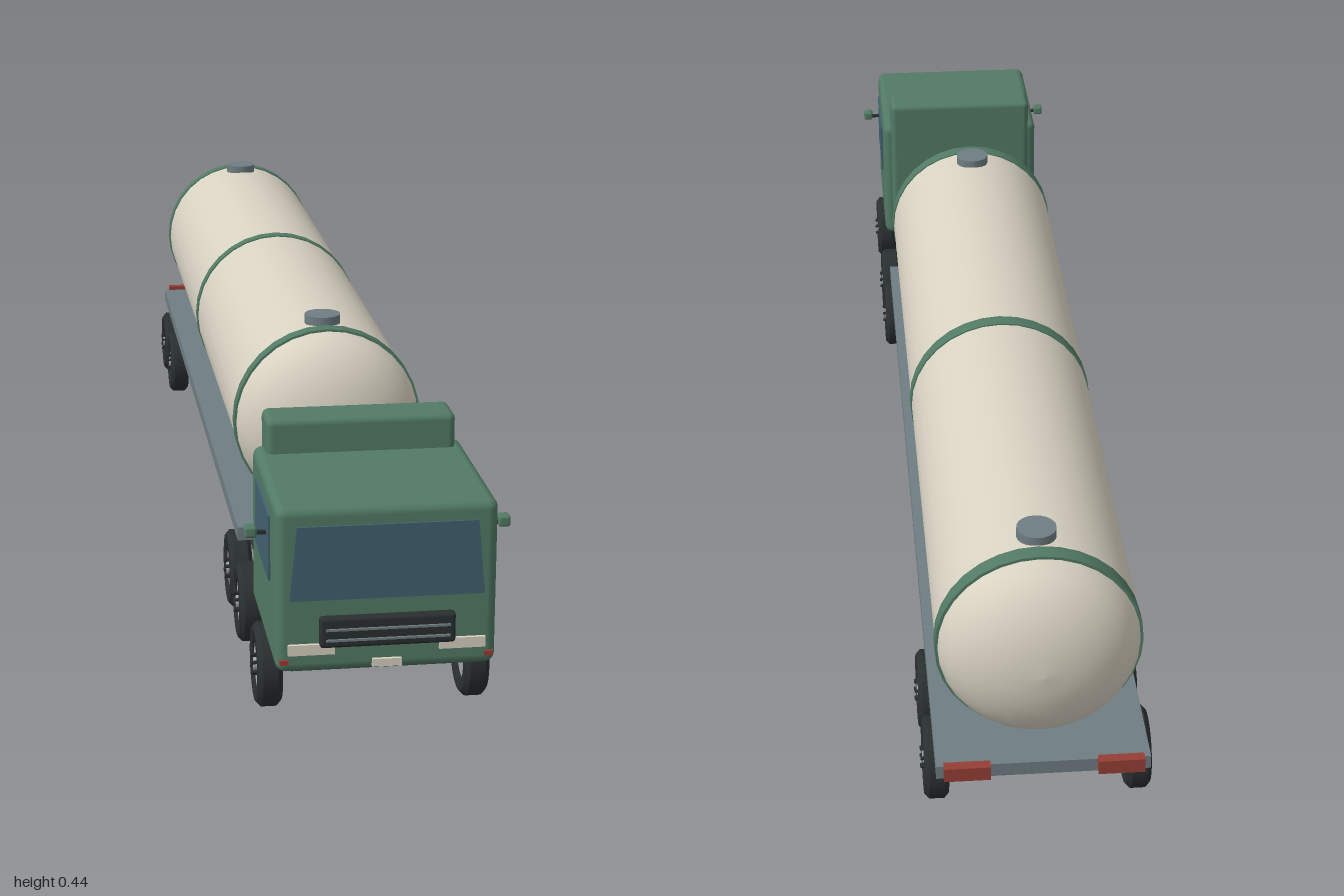
import * as THREE from 'three';
import { RoundedBoxGeometry } from 'three/addons/geometries/RoundedBoxGeometry.js';
import { toCreasedNormals } from 'three/addons/utils/BufferGeometryUtils.js';

const mat = (name, color) => {
  const m = new THREE.MeshStandardMaterial({ color });
  m.name = name;
  return m;
};

export function createModel() {
  const green = mat('green paint', 0x527a65);
  const cream = mat('cream', 0xd8d2c2);
  const dark = mat('dark chassis', 0x353b3d);
  const black = mat('rubber', 0x2a2f30);
  const grey = mat('deck grey', 0x6f7d82);
  const rimGrey = mat('rim grey', 0xa3a8a8);
  const glass = mat('glass', 0x41616f);
  const red = mat('red lamp', 0x963f36);

  const truck = new THREE.Group();
  truck.name = 'tankerTruck';

  const add = (name, geo, material, x = 0, y = 0, z = 0, parent = truck) => {
    const m = new THREE.Mesh(geo, material);
    m.name = name;
    m.position.set(x, y, z);
    parent.add(m);
    return m;
  };
  // Box given by its limits, optionally rounded
  const box = (name, material, [x0, x1], [y0, y1], [z0, z1], r = 0) => {
    const w = x1 - x0, h = y1 - y0, d = z1 - z0;
    const geo = r ? new RoundedBoxGeometry(w, h, d, 2, r) : new THREE.BoxGeometry(w, h, d);
    return add(name, geo, material, (x0 + x1) / 2, (y0 + y1) / 2, (z0 + z1) / 2);
  };
  // Solid of revolution with sharp edges kept
  const lathe = (pts, n = 24) => toCreasedNormals(
    new THREE.LatheGeometry(pts.map(p => new THREE.Vector2(...p)), n), 0.6);

  // Cab and roof fairing
  box('cab', green, [-0.15, 0.15], [0.108, 0.343], [0.705, 0.985], 0.014);
  box('rearFairing', green, [-0.135, 0.135], [0.168, 0.393], [0.69, 0.757], 0.01);

  // Windscreen
  const screen = new THREE.Shape([[-0.132, 0.213], [0.132, 0.213], [0.122, 0.317], [-0.122, 0.317]]
    .map(p => new THREE.Vector2(...p)));
  add('windscreen', new THREE.ExtrudeGeometry(screen, { depth: 0.006, bevelEnabled: false }),
    glass, 0, 0, 0.982);

  // Grille with slats
  box('grille', black, [-0.092, 0.092], [0.147, 0.19], [0.978, 0.997], 0.005);
  for (const y of [0.159, 0.174]) {
    box('grilleSlat', grey, [-0.084, 0.084], [y - 0.0015, y + 0.0015], [0.99, 1.0]);
  }
  box('numberPlate', cream, [-0.02, 0.02], [0.115, 0.126], [0.982, 0.99]);

  for (const s of [-1, 1]) {
    const span = (a, b) => (s > 0 ? [a, b] : [-b, -a]);
    // Front lamps
    box('headlight', cream, span(0.071, 0.134), [0.136, 0.151], [0.98, 0.99]);
    box('indicator', red, span(0.133, 0.145), [0.122, 0.129], [0.98, 0.988]);
    // Door window
    box('sideWindow', glass, span(0.147, 0.153), [0.22, 0.313], [0.77, 0.925]);
    // Mirror on its arm
    box('mirrorArm', black, span(0.148, 0.168), [0.279, 0.284], [0.898, 0.904]);
    box('mirrorHousing', green, span(0.166, 0.183), [0.276, 0.292], [0.891, 0.911], 0.004);
    // Tail lamp
    box('tailLamp', red, span(0.075, 0.14), [0.126, 0.148], [-1.0, -0.985]);
  }

  // Chassis and trailer deck
  box('chassis', dark, [-0.122, 0.122], [0.088, 0.115], [-0.93, 0.93]);
  box('centreBeam', dark, [-0.105, 0.105], [0.08, 0.121], [-0.93, 0.49]);
  box('deck', grey, [-0.15, 0.15], [0.12, 0.141], [-0.985, 0.5]);

  // Tank with domed ends, lying along z
  const R = 0.144, tankY = 0.283, front = 0.41, back = -0.89, dome = 0.092;
  const profile = [];
  for (const [z, sgn] of [[back, -1], [front, 1]]) {
    for (let i = 0; i <= 7; i++) {
      const a = (sgn < 0 ? 7 - i : i) / 7 * Math.PI / 2;
      profile.push(new THREE.Vector2(Math.max(0, R * Math.cos(a)), z + sgn * dome * Math.sin(a)));
    }
  }
  const tank = new THREE.LatheGeometry(profile, 32);
  tank.rotateX(Math.PI / 2);
  add('tank', tank, cream, 0, tankY, 0);

  // Painted bands around the tank
  for (const z of [0.406, -0.242, -0.89]) {
    const r = R + 0.002, w = 0.0125;
    const band = lathe([[R - 0.008, -w], [r, -w], [r, w], [R - 0.008, w]], 32);
    band.rotateX(Math.PI / 2);
    add('tankBand', band, green, 0, tankY, z);
  }

  // Filler hatches
  for (const z of [0.36, -0.845]) {
    add('hatch', new THREE.CylinderGeometry(0.028, 0.028, 0.03, 20), grey, 0, 0.424, z);
  }

  // Wheels: tyre, rim, hub and bolts, outer face towards +x
  const tyreGeo = lathe([[0.036, -0.015], [0.04, -0.0175], [0.053, -0.0175], [0.06, -0.011],
    [0.06, 0.011], [0.053, 0.0175], [0.04, 0.0175], [0.036, 0.015], [0.036, -0.015]], 28);
  const rimGeo = lathe([[0, -0.011], [0.037, -0.011], [0.037, 0.013], [0.033, 0.013],
    [0.027, 0.009], [0, 0.009]], 28);
  const ringGeo = new THREE.CylinderGeometry(0.02, 0.02, 0.003, 20);
  const hubGeo = new THREE.CylinderGeometry(0.009, 0.01, 0.01, 16);
  const boltGeo = new THREE.CylinderGeometry(0.0025, 0.0025, 0.012, 6);
  for (const g of [tyreGeo, rimGeo, ringGeo, hubGeo, boltGeo]) g.rotateZ(-Math.PI / 2);

  for (const z of [0.835, 0.6, 0.46, -0.71, -0.865]) {
    for (const s of [-1, 1]) {
      const wheel = new THREE.Group();
      wheel.name = 'wheel';
      wheel.position.set(s * 0.1455, 0.0605, z);
      if (s < 0) wheel.rotation.y = Math.PI;
      truck.add(wheel);
      add('tyre', tyreGeo, black, 0, 0, 0, wheel);
      add('rim', rimGeo, rimGrey, 0, 0, 0, wheel);
      add('hubRing', ringGeo, dark, 0.0095, 0, 0, wheel);
      add('hub', hubGeo, rimGrey, 0.013, 0, 0, wheel);
      for (let i = 0; i < 6; i++) {
        const a = i / 6 * Math.PI * 2;
        add('wheelBolt', boltGeo, black, 0.0155, 0.0145 * Math.cos(a), 0.0145 * Math.sin(a), wheel);
      }
    }
  }
  return truck;
}
